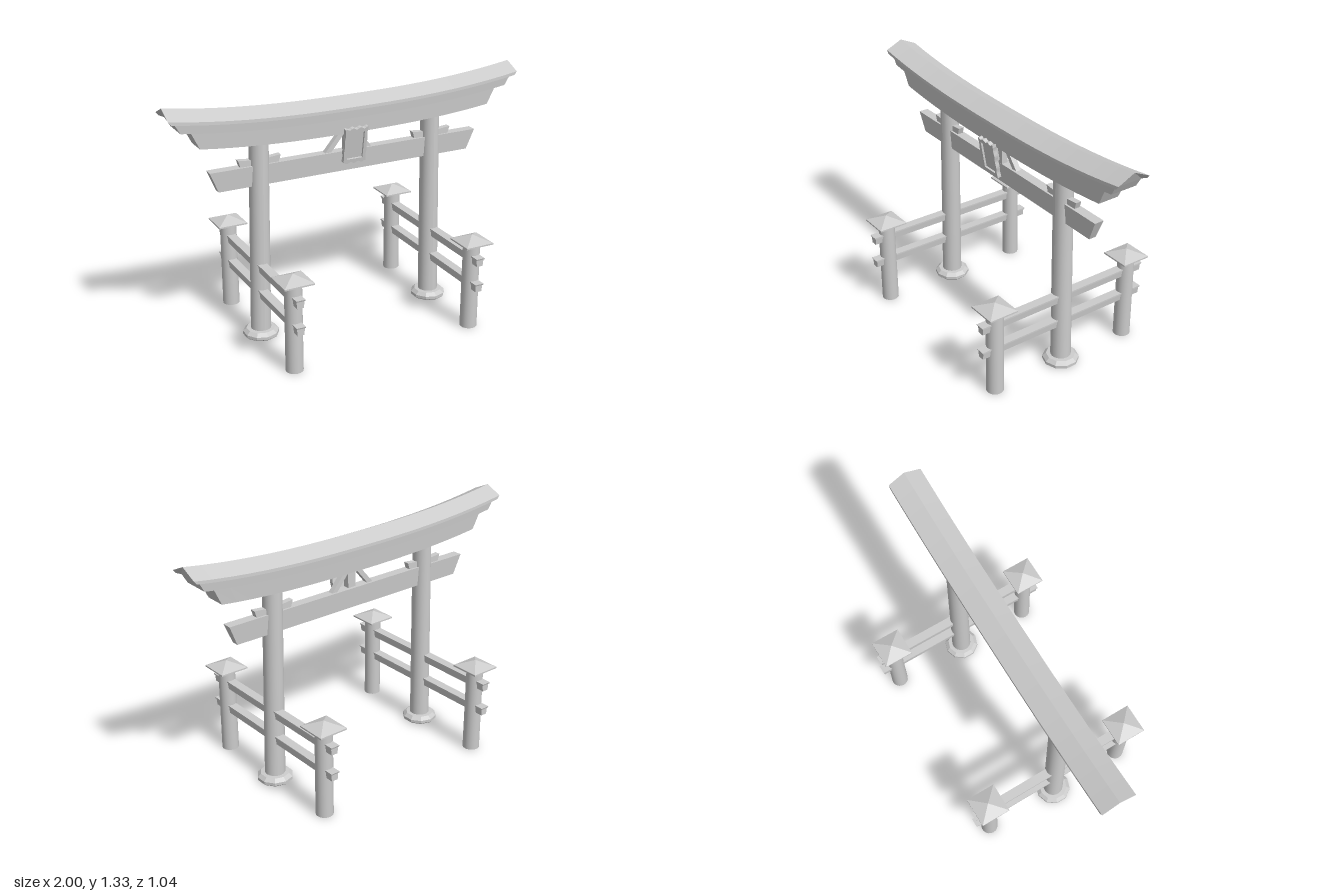
import * as THREE from 'three';

const material = new THREE.MeshStandardMaterial({ color: 0xcccccc, side: THREE.DoubleSide });
const flat = new THREE.MeshStandardMaterial({ color: 0xcccccc, flatShading: true, side: THREE.DoubleSide });

function add(parent, name, geometry, mat = flat, x = 0, y = 0, z = 0) {
  const mesh = new THREE.Mesh(geometry, mat);
  mesh.name = name;
  mesh.position.set(x, y, z);
  parent.add(mesh);
  return mesh;
}

// Beam along x: profile points are [z, y, half length], clockwise with z right and y up
function beam(profile, segments = 1, rise = () => 0) {
  const n = profile.length, pos = [], idx = [];
  for (let s = 0; s <= segments; s++) {
    const t = (s / segments) * 2 - 1;
    for (const [z, y, end] of profile) pos.push(t * end, y + rise(t * end), z);
  }
  for (let s = 0; s < segments; s++) {
    for (let i = 0; i < n; i++) {
      const a = s * n + i, b = s * n + ((i + 1) % n);
      idx.push(a, b, b + n, a, b + n, a + n);
    }
  }
  const last = segments * n;
  for (let i = 1; i < n - 1; i++) {
    idx.push(0, i + 1, i, last, last + i, last + i + 1);
  }
  const g = new THREE.BufferGeometry();
  g.setAttribute('position', new THREE.Float32BufferAttribute(pos, 3));
  g.setIndex(idx);
  const out = g.toNonIndexed();
  out.computeVertexNormals();
  return out;
}

// Four-sided beam profile with its own width and length at top and bottom
const trapezoid = (y0, y1, w0, w1, l0, l1) =>
  [[-w1, y1, l1], [w1, y1, l1], [w0, y0, l0], [-w0, y0, l0]];

// Square pyramid roof with a thin eave
function addPostCap(parent, z) {
  const cap = new THREE.Group();
  cap.name = 'postCap';
  cap.position.set(0, 0, z);
  add(cap, 'capEave', new THREE.BoxGeometry(0.164, 0.008, 0.164), flat, 0, 0.498, 0);
  const roof = new THREE.ConeGeometry(0.082 * Math.SQRT2, 0.036, 4);
  roof.rotateY(Math.PI / 4);
  add(cap, 'capRoof', roof, flat, 0, 0.52, 0);
  parent.add(cap);
}

// One pillar with its two supporting posts and rails; side is +1 or -1
function createSide(side) {
  const group = new THREE.Group();
  group.name = side > 0 ? 'leftPillarGroup' : 'rightPillarGroup';
  group.position.x = side * 0.523;

  // Main pillar leans slightly inward
  const pillar = new THREE.CylinderGeometry(0.051, 0.055, 1.09, 20);
  pillar.translate(0, 0.555, 0);
  const p = pillar.attributes.position;
  for (let i = 0; i < p.count; i++) p.setX(i, p.getX(i) - side * 0.018 * p.getY(i));
  pillar.computeVertexNormals();
  add(group, 'mainPillar', pillar, material);

  const ring = [[0.062, 0.02], [0.066, 0], [0.088, 0], [0.097, 0.008], [0.097, 0.024], [0.078, 0.042], [0.05, 0.044]]
    .map(([r, y]) => new THREE.Vector2(r, y));
  add(group, 'pillarBase', new THREE.LatheGeometry(ring, 10), flat);

  for (const z of [-0.428, 0.428]) {
    add(group, 'supportPost', new THREE.CylinderGeometry(0.0455, 0.0465, 0.48, 20), material, 0, 0.24, z);
    add(group, 'postNeck', new THREE.CylinderGeometry(0.043, 0.043, 0.02, 20), material, 0, 0.486, z);
    addPostCap(group, z);
  }

  // Rails run front to back through pillar and posts
  for (const y of [0.236, 0.385]) {
    const rail = add(group, 'rail', beam(trapezoid(0, 0.038, 0.018, 0.022, 0.513, 0.513)), flat, 0, y, 0);
    const top = add(group, 'railTop', beam(trapezoid(0.038, 0.046, 0.025, 0.025, 0.517, 0.52)), flat, 0, y, 0);
    rail.rotation.y = top.rotation.y = Math.PI / 2;
  }

  // Wedges on the tie beam, either side of the pillar
  for (const s of [-1, 1]) {
    const shape = new THREE.Shape();
    shape.moveTo(0, 0);
    shape.lineTo(s * 0.105, 0);
    shape.lineTo(s * 0.117, 0.038);
    shape.lineTo(0, 0.026);
    const wedge = new THREE.ExtrudeGeometry(shape, { depth: 0.032, bevelEnabled: false });
    add(group, 'wedge', wedge, flat, -side * 0.016, 0.969, -0.016);
  }
  return group;
}

// Tilted tablet: scalloped frame around a recessed panel
function createTablet() {
  const tablet = new THREE.Group();
  tablet.name = 'tablet';
  tablet.position.set(0, 1.018, 0.086);
  tablet.rotation.x = 0.17;
  const shape = new THREE.Shape();
  const steps = 18, wave = (t) => 0.005 * Math.cos(t * Math.PI * 6);
  const edges = [
    (t) => [-0.064 + 0.128 * t, -0.098 + wave(t)],
    (t) => [0.064 + 0.4 * wave(t), -0.098 + 0.196 * t],
    (t) => [0.064 - 0.128 * t, 0.098 + wave(t)],
    (t) => [-0.064 - 0.4 * wave(t), 0.098 - 0.196 * t],
  ];
  const outline = edges.flatMap((e) => Array.from({ length: steps }, (_, i) => new THREE.Vector2(...e(i / steps))));
  shape.setFromPoints(outline);
  const hole = new THREE.Path();
  hole.setFromPoints([[-0.046, -0.076], [-0.046, 0.076], [0.046, 0.076], [0.046, -0.076]]
    .map(([x, y]) => new THREE.Vector2(x, y)));
  shape.holes.push(hole);
  add(tablet, 'tabletFrame', new THREE.ExtrudeGeometry(shape, { depth: 0.022, bevelEnabled: false }), flat, 0, 0, -0.011);
  add(tablet, 'tabletPanel', new THREE.BoxGeometry(0.1, 0.16, 0.01), flat, 0, 0, -0.005);
  add(tablet, 'tabletMount', new THREE.BoxGeometry(0.05, 0.08, 0.035), flat, 0, 0.012, -0.025);
  return tablet;
}

export function createModel() {
  const model = new THREE.Group();
  model.name = 'shrineGate';
  for (const side of [-1, 1]) model.add(createSide(side));

  // Curved top beams, rising toward the ends
  const rise = (x) => 0.063 * Math.abs(x) ** 2.5;
  const roof = [[0, 1.267, 1], [0.093, 1.224, 1], [0.094, 1.208, 0.985], [0.076, 1.205, 0.965],
    [-0.076, 1.205, 0.965], [-0.094, 1.208, 0.985], [-0.093, 1.224, 1]];
  add(model, 'roofBeam', beam(roof, 20, rise));
  add(model, 'upperBeam', beam(trapezoid(1.16, 1.208, 0.074, 0.077, 0.935, 0.965), 20, rise));
  add(model, 'lowerBeam', beam(trapezoid(1.075, 1.162, 0.058, 0.062, 0.835, 0.88), 20, rise));

  // Straight tie beam
  add(model, 'tieBeam', beam(trapezoid(0.86, 0.97, 0.02, 0.027, 0.735, 0.78)));

  // Centre post and braces between the beams
  add(model, 'centrePost', new THREE.BoxGeometry(0.05, 0.115, 0.036), flat, 0, 1.024, 0.008);
  for (const s of [-1, 1]) {
    const shape = new THREE.Shape();
    shape.moveTo(s * 0.138, 0.968);
    shape.lineTo(s * 0.103, 0.968);
    shape.lineTo(s * 0.012, 1.078);
    shape.lineTo(s * 0.045, 1.078);
    add(model, 'brace', new THREE.ExtrudeGeometry(shape, { depth: 0.03, bevelEnabled: false }), flat, 0, 0, -0.015);
  }
  model.add(createTablet());
  return model;
}
